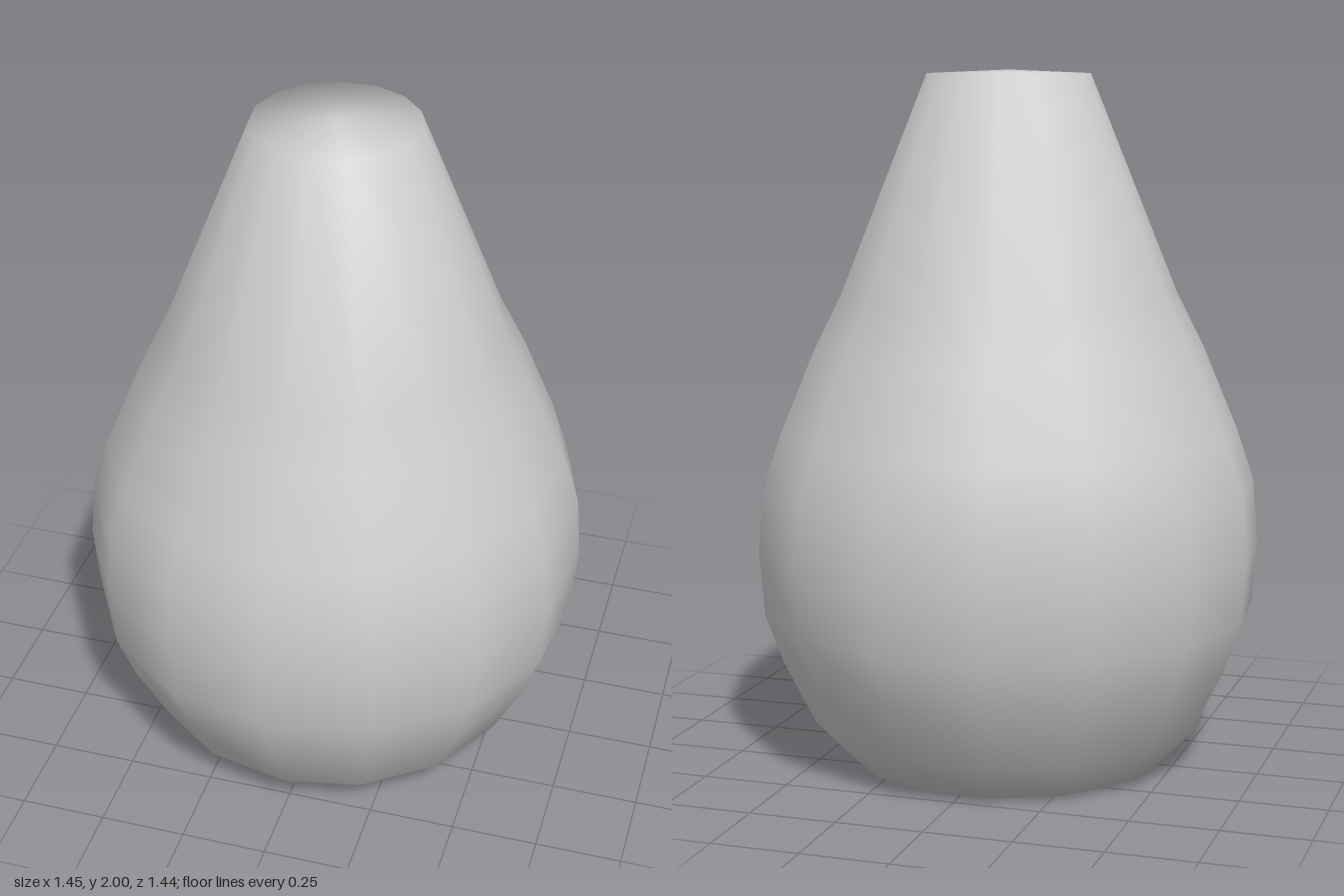
import * as THREE from 'three';

export function createModel() {
  const group = new THREE.Group();

  // Pear-shaped vase: flat base, round belly, tapering neck, closed flat top.
  const profile = [
    [0, 0], [0.46, 0.005], [0.57, 0.12], [0.66, 0.3], [0.715, 0.45],
    [0.73, 0.64], [0.715, 0.82], [0.665, 0.97], [0.565, 1.21],
    [0.485, 1.37], [0.235, 1.99], [0, 2],
  ].map(([r, y]) => new THREE.Vector2(r, y));

  const body = new THREE.Mesh(
    new THREE.LatheGeometry(profile, 15),
    new THREE.MeshStandardMaterial({ color: 0xcccccc })
  );
  body.name = 'vaseBody';
  group.add(body);

  return group;
}
